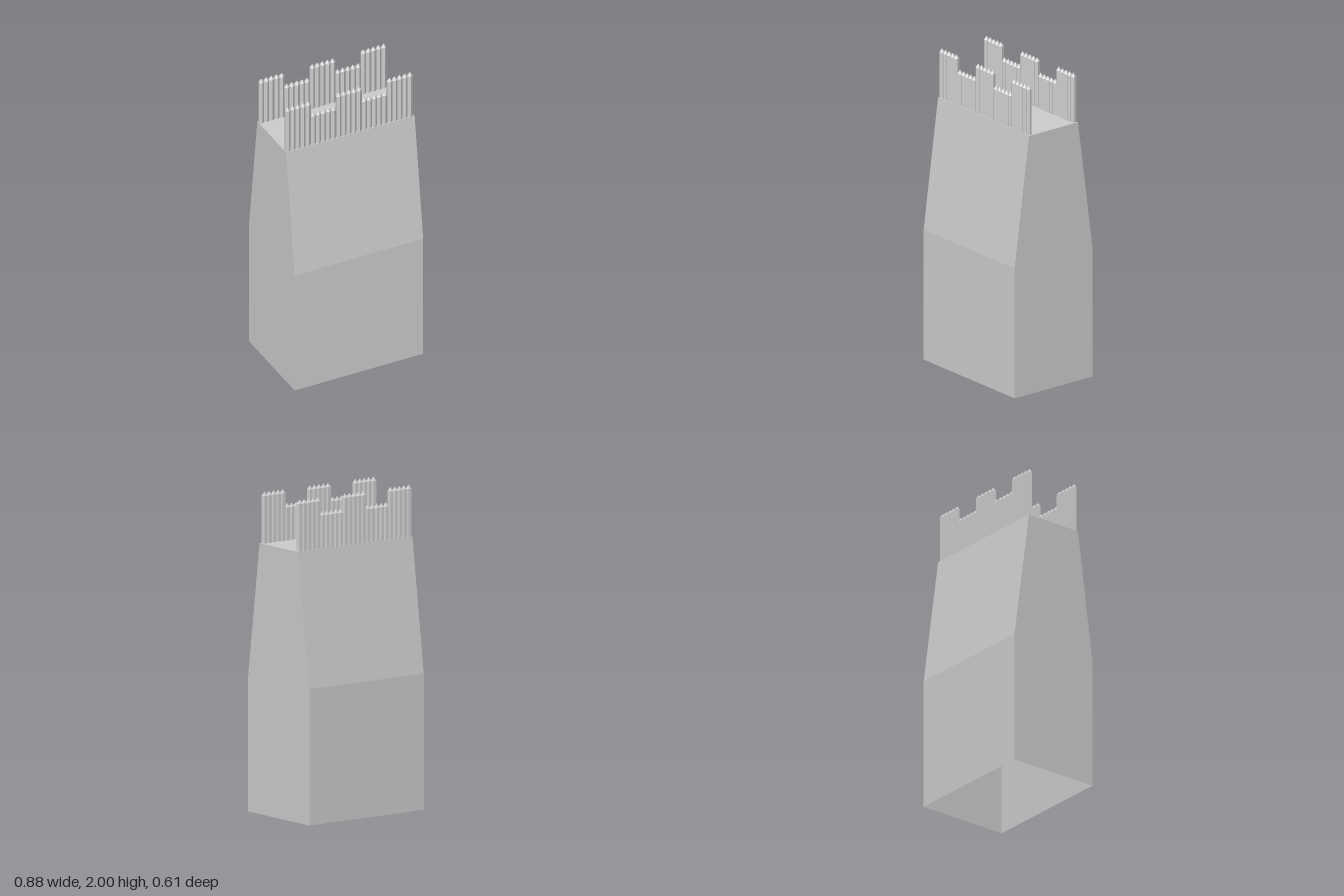
import * as THREE from 'three';

const HALF_WIDTH = 0.441;
const TOP = 1.68;

// Tapered hollow body: rectangular rings stacked upward, closed on top, open underneath
function bodyGeometry() {
  const rings = [[0, 0.305], [0.845, 0.305], [TOP, 0.192]].map(([y, d]) => [
    [-HALF_WIDTH, y, d], [HALF_WIDTH, y, d], [HALF_WIDTH, y, -d], [-HALF_WIDTH, y, -d],
  ]);
  const positions = [];
  const quad = (a, b, c, d) => positions.push(...a, ...b, ...c, ...a, ...c, ...d);
  for (let r = 0; r < rings.length - 1; r++) {
    const lower = rings[r], upper = rings[r + 1];
    for (let i = 0; i < 4; i++) {
      const j = (i + 1) % 4;
      quad(lower[i], lower[j], upper[j], upper[i]);
    }
  }
  quad(...rings[rings.length - 1]);
  const geometry = new THREE.BufferGeometry();
  geometry.setAttribute('position', new THREE.Float32BufferAttribute(positions, 3));
  geometry.computeVertexNormals();
  return geometry;
}

// Five-sided stake with a pointed tip, standing on y = 0
function stakeGeometry(height) {
  const r = 0.0183, tip = 0.025;
  const profile = [[0, 0], [r, 0], [r, height - tip], [0, height]];
  return new THREE.LatheGeometry(profile.map(([x, y]) => new THREE.Vector2(x, y)), 5);
}

export function createModel() {
  const model = new THREE.Group();
  model.name = 'palisadeWall';
  const material = new THREE.MeshStandardMaterial({
    color: 0xcccccc, flatShading: true, side: THREE.DoubleSide,
  });

  const body = new THREE.Mesh(bodyGeometry(), material);
  body.name = 'wallBody';
  model.add(body);

  // Two stake rows, alternating five tall and five short like battlements
  const tall = stakeGeometry(2 - TOP);
  const short = stakeGeometry(1.91 - TOP);
  for (const [name, z] of [['frontPalisade', 0.175], ['backPalisade', -0.175]]) {
    const row = new THREE.Group();
    row.name = name;
    for (let i = 0; i < 25; i++) {
      const isTall = Math.floor(i / 5) % 2 === 0;
      const stake = new THREE.Mesh(isTall ? tall : short, material);
      stake.name = isTall ? 'tallStake' : 'shortStake';
      stake.position.set(-0.4235 + i * 0.035, TOP, z);
      row.add(stake);
    }
    model.add(row);
  }
  return model;
}
